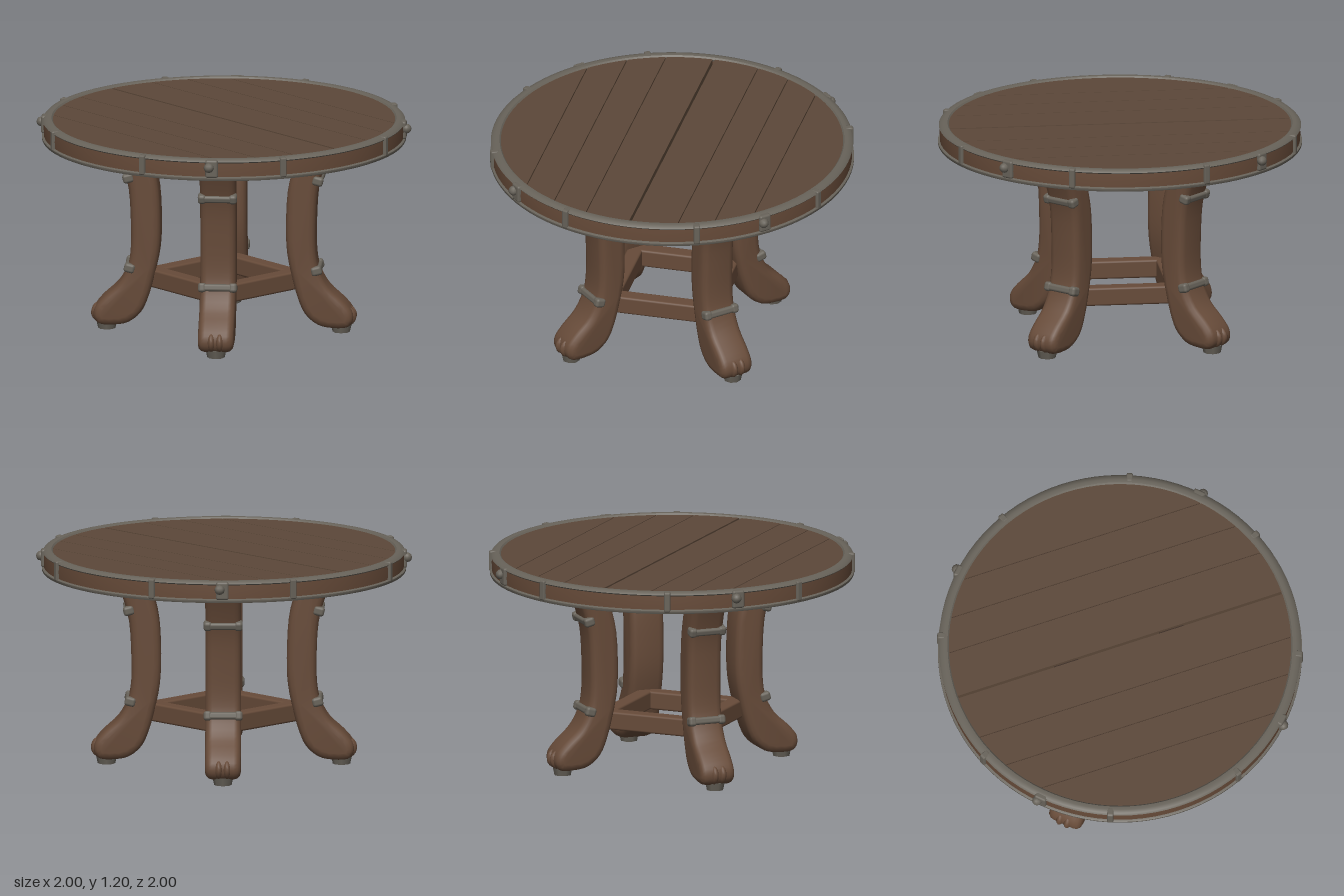
import * as THREE from 'three';
import { toCreasedNormals } from 'three/addons/utils/BufferGeometryUtils.js';
import { RoundedBoxGeometry } from 'three/addons/geometries/RoundedBoxGeometry.js';

const material = (name, color) => {
  const m = new THREE.MeshStandardMaterial({ color });
  m.name = name;
  return m;
};

export function createModel() {
  const plankWood = material('plank wood', 0x5c4839);
  const legWood = material('leg wood', 0x674b39);
  const darkWood = material('dark wood', 0x3a2b22);
  const iron = material('iron', 0x68635a);

  const model = new THREE.Group();
  model.name = 'roundTable';

  const add = (parent, name, geometry, mat, x = 0, y = 0, z = 0) => {
    const mesh = new THREE.Mesh(geometry, mat);
    mesh.name = name;
    mesh.position.set(x, y, z);
    parent.add(mesh);
    return mesh;
  };
  const pivot = (parent, name, angle) => {
    const g = new THREE.Group();
    g.name = name;
    g.rotation.y = angle;
    parent.add(g);
    return g;
  };

  // --- Table top -------------------------------------------------------
  const top = pivot(model, 'tableTop', 0);

  // A strip of a disc between two x values, lying flat
  const discStrip = (x0, x1, radius, height) => {
    const pts = [];
    const n = 24;
    for (let side = 1; side >= -1; side -= 2) {
      for (let i = 0; i <= n; i++) {
        const t = side > 0 ? i / n : 1 - i / n;
        const a = THREE.MathUtils.lerp(Math.acos(x0 / radius), Math.acos(x1 / radius), t);
        pts.push(new THREE.Vector2(Math.cos(a) * radius, side * Math.sin(a) * radius));
      }
    }
    const g = new THREE.ExtrudeGeometry(new THREE.Shape(pts), { depth: height, bevelEnabled: false });
    return g.rotateX(-Math.PI / 2);
  };

  // Planks with fine seams, and a wide slot between the two halves
  const seams = [-0.943, -0.65, -0.46, -0.26, 0, 0.26, 0.45, 0.64, 0.943];
  for (let i = 0; i < seams.length - 1; i++) {
    const gap = (x) => (x === 0 ? 0.007 : 0.0025);
    add(top, 'plank', discStrip(seams[i] + gap(seams[i]), seams[i + 1] - gap(seams[i + 1]), 0.945, 0.102),
      plankWood, 0, 1.088, 0);
  }
  // Backing behind the seams
  add(top, 'leftBacking', discStrip(0.009, 0.94, 0.942, 0.08), darkWood, 0, 1.1, 0);
  add(top, 'rightBacking', discStrip(-0.94, -0.009, 0.942, 0.08), darkWood, 0, 1.1, 0);
  // Dowels bridging the slot
  for (const z of [-0.31, 0.3]) add(top, 'dowel', new THREE.BoxGeometry(0.03, 0.05, 0.14), darkWood, 0, 1.14, z);

  // Rim: wooden band between two iron hoops
  const ring = (name, profile, mat) => {
    const g = new THREE.LatheGeometry(profile.map(([r, y]) => new THREE.Vector2(r, y)), 96);
    add(top, name, toCreasedNormals(g, 0.6), mat);
  };
  ring('woodenRim', [[0.941, 1.09], [0.988, 1.09], [0.99, 1.14], [0.988, 1.185], [0.941, 1.185], [0.941, 1.09]], legWood);
  ring('upperHoop', [[0.94, 1.178], [0.99, 1.178], [0.995, 1.184], [0.985, 1.195], [0.965, 1.2], [0.947, 1.198],
    [0.938, 1.188], [0.94, 1.178]], iron);
  ring('lowerHoop', [[0.94, 1.08], [0.997, 1.08], [1, 1.085], [1, 1.096], [0.988, 1.102], [0.94, 1.102], [0.94, 1.08]], iron);

  // Iron clips round the rim, with wide knobbed brackets at the corners
  for (let i = 0; i < 4; i++) {
    for (const a of [22, 68]) {
      const clip = pivot(top, 'rimClip', THREE.MathUtils.degToRad(a + i * 90));
      add(clip, 'clipPlate', new RoundedBoxGeometry(0.055, 0.113, 0.036, 2, 0.01), iron, 0.978, 1.144, 0)
        .rotation.y = Math.PI / 2;
      clip.children[0].scale.set(0.65, 1, 1.5);
    }
    const bracket = pivot(top, 'rimBracket', THREE.MathUtils.degToRad(45 + i * 90));
    add(bracket, 'bracketPlate', new RoundedBoxGeometry(0.05, 0.1, 0.07, 2, 0.012), iron, 0.98, 1.147, 0);
    add(bracket, 'bracketKnob', new THREE.IcosahedronGeometry(0.028, 1), iron, 1.005, 1.155, 0.015);
  }

  // --- Legs ------------------------------------------------------------
  // Side profile (outward distance, height): outer edge, toe, sole, inner edge
  const profile = [
    [0.635, 1.14], [0.61, 1.08], [0.56, 0.95], [0.52, 0.8], [0.508, 0.6], [0.51, 0.45], [0.53, 0.35],
    [0.58, 0.26], [0.655, 0.19], [0.705, 0.13], [0.712, 0.075], [0.68, 0.037], [0.6, 0.033],
    [0.52, 0.05], [0.45, 0.11], [0.41, 0.2], [0.38, 0.31], [0.352, 0.45], [0.345, 0.6], [0.355, 0.8],
    [0.39, 0.95], [0.437, 1.08], [0.462, 1.14],
  ].map(([r, y]) => new THREE.Vector2(r, y));
  const halfWidth = 0.098;
  const bevel = 0.038;
  const legShape = new THREE.Shape(new THREE.SplineCurve(profile).getPoints(66));
  const legGeometry = toCreasedNormals(
    new THREE.ExtrudeGeometry(legShape, {
      depth: 2 * (halfWidth - bevel), bevelEnabled: true, bevelSize: bevel, bevelThickness: bevel,
      bevelOffset: -bevel, bevelSegments: 3,
    }).translate(0, 0, bevel - halfWidth), 0.6);

  const toeGeometry = new THREE.SphereGeometry(1, 14, 10);
  const padGeometry = new THREE.CylinderGeometry(0.058, 0.048, 0.045, 8);

  for (let i = 0; i < 4; i++) {
    const leg = pivot(model, 'leg', Math.PI / 4 + (i * Math.PI) / 2);
    add(leg, 'legPost', legGeometry, legWood);

    // Carved toes
    for (const z of [-0.068, -0.023, 0.023, 0.068]) {
      const toe = add(leg, 'toe', toeGeometry, legWood, Math.abs(z) > 0.05 ? 0.655 : 0.675, 0.092, z);
      toe.scale.set(0.055, 0.055, 0.026);
      toe.rotation.z = -0.5;
    }
    add(leg, 'footPad', padGeometry, iron, 0.645, 0.0225, 0);

    // Iron straps across the outer face
    for (const [r, y, tilt] of [[0.53, 0.865, -0.25], [0.522, 0.362, 0.25]]) {
      const strap = new THREE.Group();
      strap.name = 'strap';
      strap.position.set(r, y, 0);
      strap.rotation.z = tilt;
      add(strap, 'strapPlate', new RoundedBoxGeometry(0.04, 0.04, 0.2, 2, 0.014), iron);
      for (const s of [-1, 1]) {
        add(strap, 'strapEnd', new RoundedBoxGeometry(0.06, 0.052, 0.045, 2, 0.016), iron, -0.008, 0, s * 0.085);
      }
      leg.add(strap);
    }

    // Stretcher joining this leg to the next
    const side = pivot(model, 'stretcher', (i * Math.PI) / 2);
    add(side, 'stretcherBar', new RoundedBoxGeometry(0.56, 0.102, 0.085, 2, 0.012), legWood, 0, 0.292, 0.27);
  }

  return model;
}
